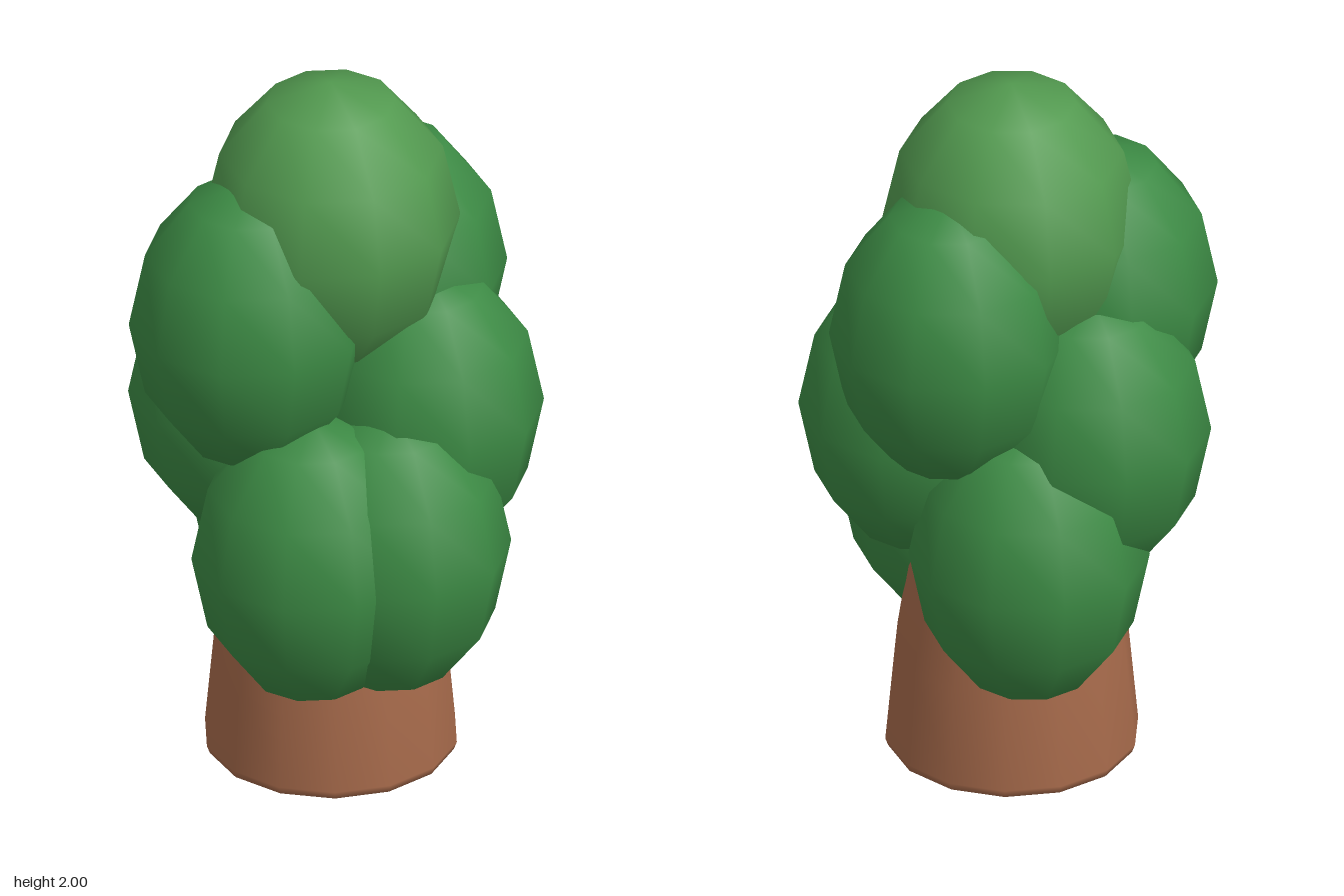
import * as THREE from 'three';

const LEAF = new THREE.MeshStandardMaterial({ color: 0x3c8a44 });
const CROWN = new THREE.MeshStandardMaterial({ color: 0x52994f });
const BARK = new THREE.MeshStandardMaterial({ color: 0xa5694a });

// One low-poly foliage ball, with corners pointing along +z and -z
const ball = new THREE.SphereGeometry(1, 10, 6).rotateY(Math.PI / 2);

function leafBall(name, material, position, radius, halfHeight) {
  const mesh = new THREE.Mesh(ball, material);
  mesh.name = name;
  mesh.position.set(...position);
  mesh.scale.set(radius, halfHeight, radius);
  return mesh;
}

export function createModel() {
  const tree = new THREE.Group();
  tree.name = 'tree';

  // Tapered trunk with softened rims
  const profile = [
    [0, 0], [0.31, 0], [0.332, 0.008], [0.34, 0.03], [0.315, 0.3],
    [0.275, 0.565], [0.262, 0.59], [0.235, 0.6], [0, 0.6],
  ].map(([r, y]) => new THREE.Vector2(r, y));
  const trunk = new THREE.Mesh(new THREE.LatheGeometry(profile, 14), BARK);
  trunk.name = 'trunk';
  trunk.position.x = -0.015;
  tree.add(trunk);

  // Foliage balls in three tiers
  const foliage = [
    ['lowerFrontLeaves', 0.135, 0.7, 0.195],
    ['lowerLeftLeaves', 0.23, 0.7, 0],
    ['lowerRightLeaves', -0.235, 0.7, -0.1],
    ['middleRightLeaves', -0.235, 1.018, 0.1],
    ['middleBackLeaves', 0.135, 1.018, -0.195],
    ['upperFrontLeaves', -0.068, 1.342, 0.24],
    ['upperBackLeaves', -0.068, 1.342, -0.24],
  ];
  for (const [name, ...position] of foliage) {
    tree.add(leafBall(name, LEAF, position, 0.32, 0.415));
  }

  // Lighter crown on top
  tree.add(leafBall('crownLeaves', CROWN, [-0.015, 1.587, 0], 0.344, 0.413));

  return tree;
}
